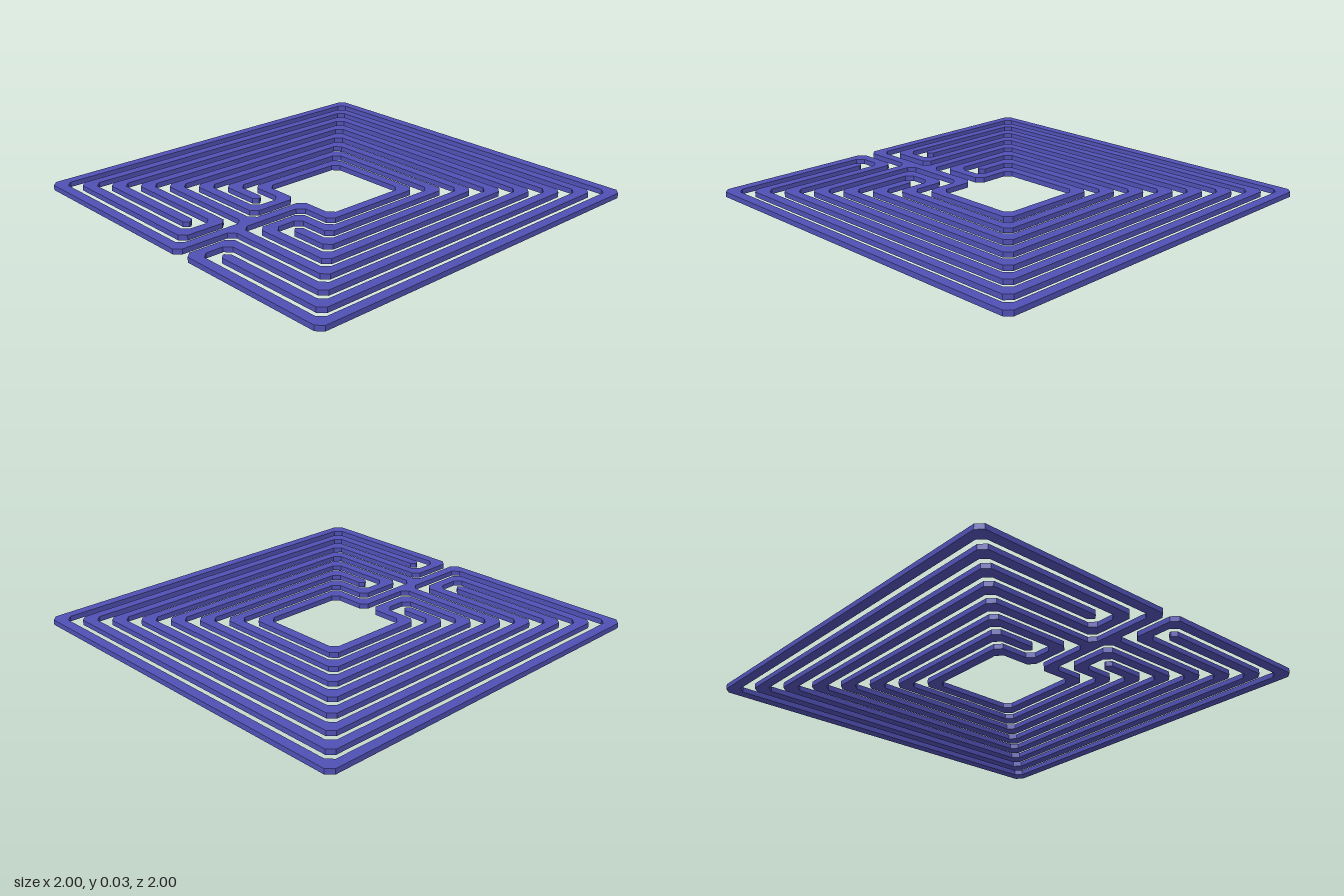
import * as THREE from 'three';

const U = 2 / 19.5;      // spacing between neighbouring walls
const HALF = 0.25;       // half wall width, in spacings
const CHAMFER = 0.3;     // corner cut, in spacings
const HEIGHT = 0.026;
const STEM = 0.5;        // x of the central stem wall

// Three-sided sweep round a square ring, starting from its front left (-1) or right (+1) corner
const ring = (r, side) => [[side * r, r], [side * r, -r], [-side * r, -r], [-side * r, r]];

// Wall leaving the stem: round one ring, folding over to a second, ending free
const arm = (r1, r2, side) => [
  [STEM, r1], ...ring(r1, side),
  [STEM - side, r1], [STEM - side, r2],
  ...ring(r2, -side), [STEM + side * 1.87, r2],
];

// Walk out along an arm and back again
const tour = (path) => [...path, ...path.slice(0, -1).reverse()];

// Offset a closed right-angled walk to its right-hand side; tips get two corners
function outline(walk) {
  const n = walk.length;
  const dir = (a, b) => [Math.sign(b[0] - a[0]), Math.sign(b[1] - a[1])];
  const out = [];
  walk.forEach((p, i) => {
    const d1 = dir(walk[(i + n - 1) % n], p);
    const d2 = dir(p, walk[(i + 1) % n]);
    const n1 = [-d1[1], d1[0]];
    const n2 = [-d2[1], d2[0]];
    const add = (x, z) => out.push(new THREE.Vector2(p[0] + HALF * x, p[1] + HALF * z));
    if (d1[0] === -d2[0] && d1[1] === -d2[1]) {
      add(n1[0], n1[1]);
      add(n2[0], n2[1]);
    } else {
      add(n1[0] + n2[0], n1[1] + n2[1]);
    }
  });
  return out;
}

// Cut every corner at 45 degrees, less on the short edges of the tips
function chamfer(points) {
  const n = points.length;
  return points.flatMap((p, i) => {
    const a = points[(i + n - 1) % n];
    const b = points[(i + 1) % n];
    const c = Math.min(CHAMFER, 0.42 * p.distanceTo(a), 0.42 * p.distanceTo(b));
    return [a, b].map((q) => p.clone().add(q.clone().sub(p).setLength(c)));
  });
}

export function createModel() {
  const group = new THREE.Group();
  group.name = 'labyrinth';

  // All walls form one tree: four arms on a central stem, traced in order
  const walk = [
    ...tour(arm(6.5, 8.5, 1)),
    ...tour(arm(2.5, 4.5, 1)),
    ...tour(arm(5.5, 3.5, -1)),
    ...tour(arm(9.5, 7.5, -1)),
  ];
  const points = chamfer(outline(walk)).map((p) => new THREE.Vector2(p.x * U, -p.y * U));

  const geometry = new THREE.ExtrudeGeometry(new THREE.Shape(points), {
    depth: HEIGHT, bevelEnabled: false,
  });
  geometry.rotateX(-Math.PI / 2);

  const walls = new THREE.Mesh(geometry, new THREE.MeshStandardMaterial({ color: 0x5050b4 }));
  walls.name = 'labyrinthWalls';
  group.add(walls);
  return group;
}
